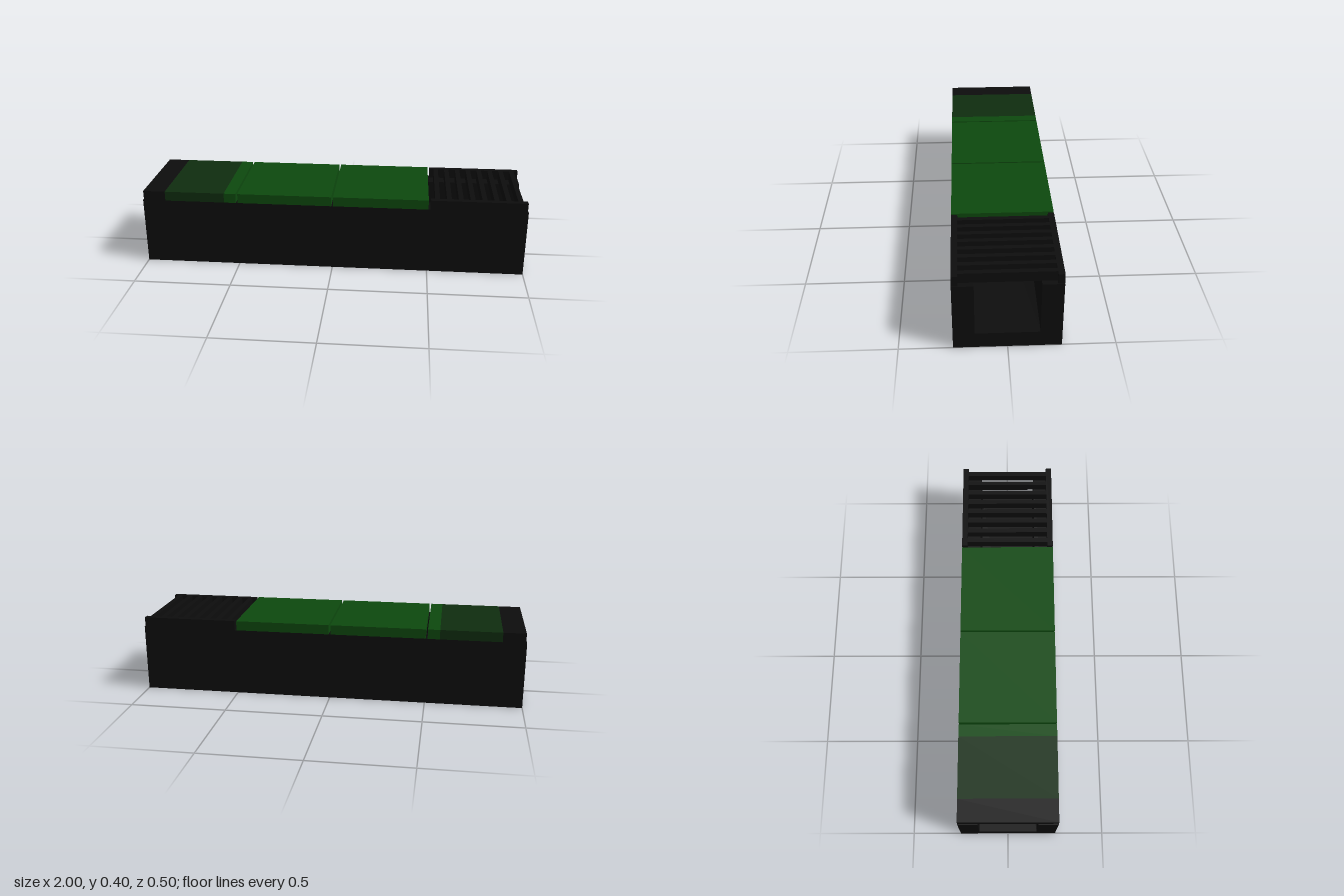
import * as THREE from 'three';

const material = (name, color) => {
  const m = new THREE.MeshStandardMaterial({ color });
  m.name = name;
  return m;
};

export function createModel() {
  const model = new THREE.Group();
  model.name = 'coveredChannel';
  const black = material('black', 0x0d0d0d);
  const green = material('green', 0x0d490e);
  const darkGreen = material('darkGreen', 0x0f2d0f);

  // Box given by its extents along each axis
  const box = (name, mat, [x0, x1], [y0, y1], [z0, z1], parent = model) => {
    const mesh = new THREE.Mesh(new THREE.BoxGeometry(x1 - x0, y1 - y0, z1 - z0), mat);
    mesh.position.set((x0 + x1) / 2, (y0 + y1) / 2, (z0 + z1) / 2);
    mesh.name = name;
    parent.add(mesh);
  };

  // U-shaped trough, open at the top and both ends
  const profile = new THREE.Shape([
    [-0.25, 0], [0.25, 0], [0.25, 0.35], [0.15, 0.35],
    [0.15, 0.08], [-0.15, 0.08], [-0.15, 0.35], [-0.25, 0.35],
  ].map(([x, y]) => new THREE.Vector2(x, y)));
  const troughGeometry = new THREE.ExtrudeGeometry(profile, { depth: 2, bevelEnabled: false });
  troughGeometry.translate(0, 0, -1).rotateY(Math.PI / 2);
  const trough = new THREE.Mesh(troughGeometry, black);
  trough.name = 'trough';
  model.add(trough);

  // Cover slabs with narrow gaps between them
  const lidY = [0.35, 0.4];
  const fullZ = [-0.25, 0.25];
  box('endCoverBlack', black, [-0.995, -0.88], lidY, fullZ);
  box('endCoverDark', darkGreen, [-0.88, -0.567], lidY, fullZ);
  box('endCoverGreen', green, [-0.567, -0.505], lidY, fullZ);
  box('middleCover', green, [-0.495, -0.005], lidY, fullZ);
  box('innerCover', green, [0.005, 0.495], lidY, fullZ);

  // Grate: two side rails joined by cross slats
  const grate = new THREE.Group();
  grate.name = 'grate';
  model.add(grate);
  box('rearRail', black, [0.505, 0.995], lidY, [-0.25, -0.22], grate);
  box('frontRail', black, [0.505, 0.995], lidY, [0.22, 0.25], grate);
  for (let i = 0; i < 8; i++) {
    const x = 0.75 + (i - 3.5) * 0.06;
    box('slat', black, [x - 0.0125, x + 0.0125], lidY, [-0.22, 0.22], grate);
  }
  return model;
}
